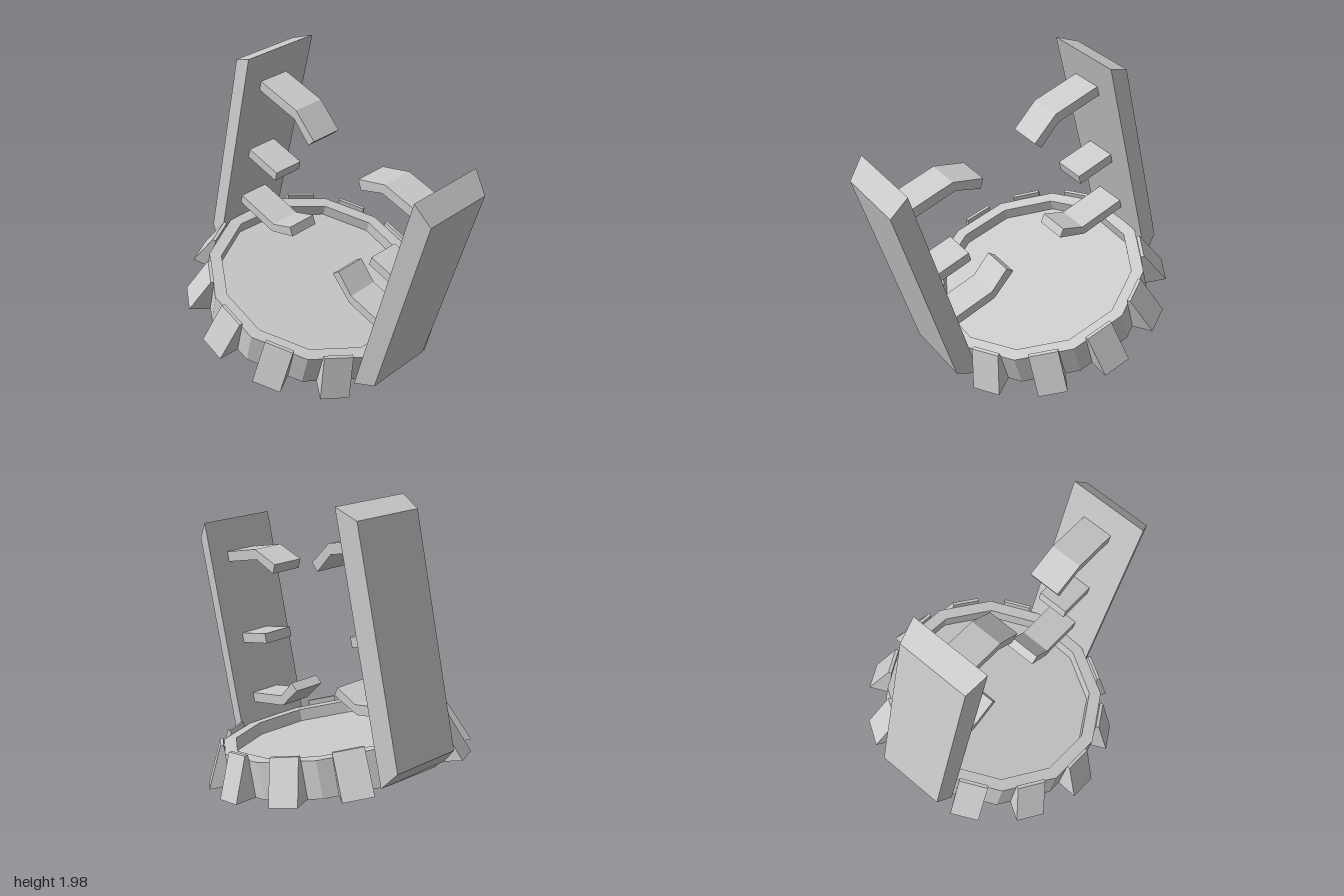
import * as THREE from 'three';

const TILT = THREE.MathUtils.degToRad(-15);
const SIDES = 12;
const BASE_Y = 0.147;

const solid = new THREE.MeshStandardMaterial({ color: 0xcccccc, flatShading: true });
const sheet = new THREE.MeshStandardMaterial({ color: 0xcccccc, flatShading: true, side: THREE.DoubleSide });

function addMesh(parent, geometry, name, material = solid) {
  const mesh = new THREE.Mesh(geometry, material);
  mesh.name = name;
  parent.add(mesh);
  return mesh;
}

// Prism with a given (x, y) profile, centred on z
function prism(points, depth) {
  const shape = new THREE.Shape(points.map(([x, y]) => new THREE.Vector2(x, y)));
  return new THREE.ExtrudeGeometry(shape, { depth, bevelEnabled: false }).translate(0, 0, -depth / 2);
}

// Tall slab whose outer face is smaller than its inner face
function pillarGeometry() {
  const thickness = 0.131;
  const geometry = new THREE.BoxGeometry(thickness, 1.636, 0.524);
  const pos = geometry.attributes.position;
  for (let i = 0; i < pos.count; i++) {
    if (pos.getX(i) > 0) pos.setXYZ(i, pos.getX(i), pos.getY(i) * 0.885, pos.getZ(i) * 0.885);
  }
  geometry.computeVertexNormals();
  return geometry.translate(0.712 + thickness / 2, 0.97, 0.02);
}

// Wedge with no underside; its inner face rests against the ring
function toothGeometry() {
  const profile = [[0.716, BASE_Y], [0.856, BASE_Y], [0.738, 0.414], [0.716, 0.414]];
  const positions = [0.095, -0.095].flatMap((z) => profile.flatMap(([x, y]) => [x, y, z]));
  const geometry = new THREE.BufferGeometry();
  geometry.setAttribute('position', new THREE.Float32BufferAttribute(positions, 3));
  const faces = [[0, 1, 2, 3], [5, 4, 7, 6], [1, 5, 6, 2], [3, 2, 6, 7], [4, 0, 3, 7]];
  geometry.setIndex(faces.flatMap(([a, b, c, d]) => [a, b, c, a, c, d]));
  const flat = geometry.toNonIndexed();
  flat.computeVertexNormals();
  return flat;
}

function createBase() {
  const base = new THREE.Group();
  base.name = 'base';
  base.rotation.y = THREE.MathUtils.degToRad(-2.7);

  // Twelve-sided tray, open underneath: outer wall, rim, inner wall, floor
  const profile = [[0.74, BASE_Y], [0.74, 0.38], [0.658, 0.38], [0.658, 0.298], [0, 0.298]];
  const tray = new THREE.LatheGeometry(profile.map(([r, y]) => new THREE.Vector2(r, y)), SIDES, Math.PI / SIDES);
  addMesh(base, tray, 'tray', sheet);

  // Teeth around the tray, leaving room for the two pillars
  const tooth = toothGeometry();
  for (let i = 0; i < SIDES; i++) {
    if (i % 6 === 0) continue;
    addMesh(base, tooth, 'tooth', sheet).rotation.y = (i / SIDES) * Math.PI * 2;
  }
  return base;
}

// Finger profiles, reaching inward from a pillar
const fingers = {
  upperFinger: [[0.73, 1.571], [0.385, 1.571], [0.195, 1.463], [0.232, 1.405], [0.385, 1.503], [0.73, 1.503]],
  middleFinger: [[0.73, 0.94], [0.73, 1.006], [0.442, 1.006], [0.442, 0.94]],
  lowerFinger: [[0.73, 0.516], [0.382, 0.516], [0.197, 0.627], [0.236, 0.679], [0.382, 0.582], [0.73, 0.582]],
};

function createSide(name) {
  const side = new THREE.Group();
  side.name = name;
  addMesh(side, pillarGeometry(), 'pillar');
  for (const [label, points] of Object.entries(fingers)) {
    addMesh(side, prism(points, 0.21), label);
  }
  return side;
}

export function createModel() {
  const model = new THREE.Group();
  model.name = 'model';

  // Whole assembly leans sideways
  const tilted = new THREE.Group();
  tilted.name = 'tiltedAssembly';
  tilted.rotation.z = TILT;
  tilted.position.set(-0.262 * Math.cos(TILT), -0.262 * Math.sin(TILT), 0);
  // Local heights are measured from the world origin along the tilted axis
  tilted.position.y -= 0.003;
  model.add(tilted);

  const left = createSide('leftSide');
  const right = createSide('rightSide');
  right.rotation.y = Math.PI;
  tilted.add(createBase(), left, right);
  return model;
}
